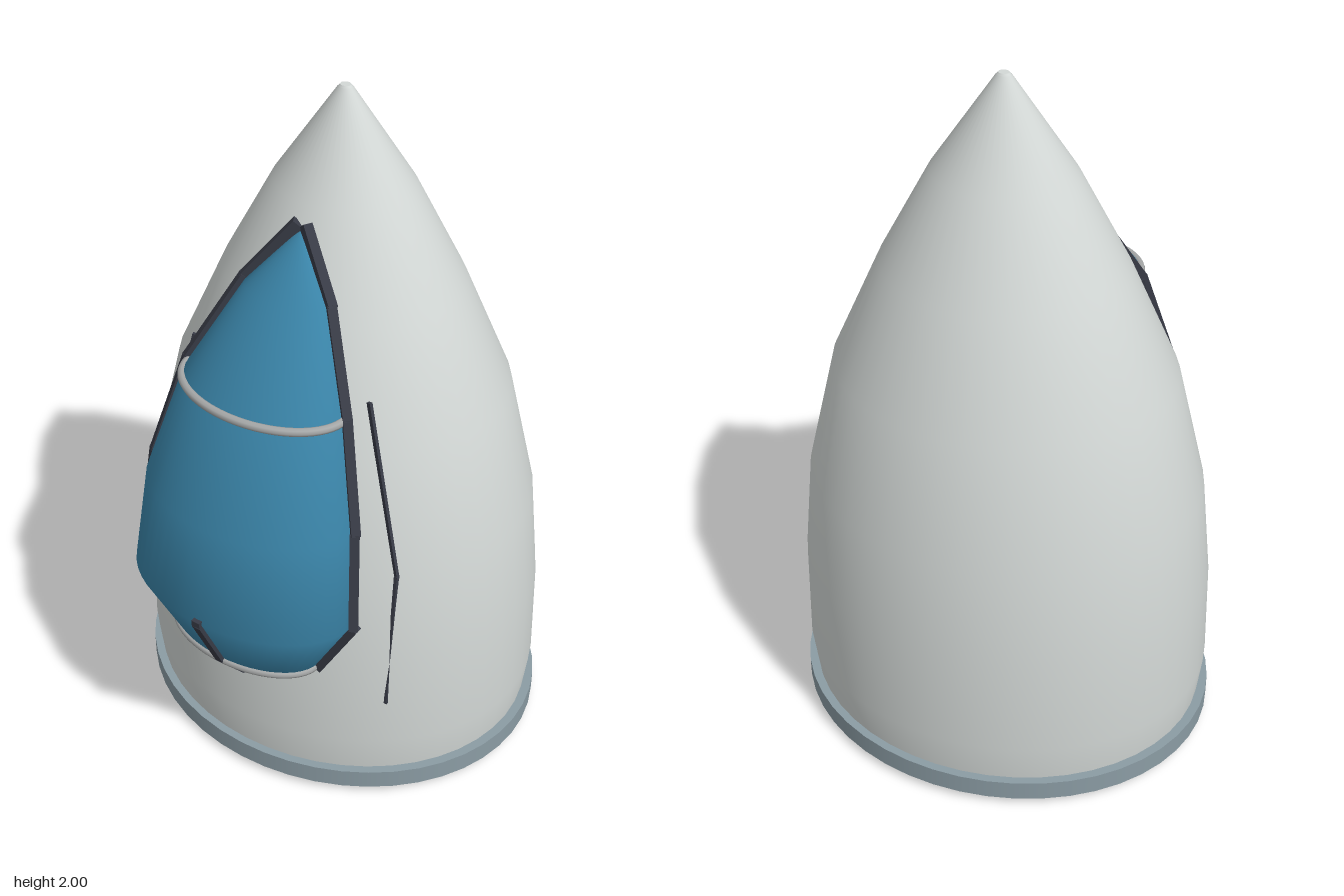
import * as THREE from 'three';

const V = (x, y, z) => new THREE.Vector3(x, y, z);

export function createModel() {
  const model = new THREE.Group();
  model.name = 'noseCone';
  const material = (name, color, side = THREE.FrontSide) => {
    const m = new THREE.MeshStandardMaterial({ color, side });
    m.name = name;
    return m;
  };
  const hullGrey = material('hullGrey', 0xd3d8d6);
  const ringGrey = material('ringGrey', 0x8b9ca4);
  const hoopGrey = material('hoopGrey', 0xa6a8a8);
  const glassBlue = material('glassBlue', 0x3a84a8, THREE.DoubleSide);
  const darkTrim = material('darkTrim', 0x383b46);

  const add = (name, geometry, mat, parent = model) => {
    const mesh = new THREE.Mesh(geometry, mat);
    mesh.name = name;
    parent.add(mesh);
    return mesh;
  };

  // Bar of rectangular section following a polyline
  const bar = (name, points, width, depth, mat) => {
    const group = new THREE.Group();
    group.name = name;
    for (let i = 0; i < points.length - 1; i++) {
      const [a, b] = [points[i], points[i + 1]];
      const geometry = new THREE.BoxGeometry(width, depth, a.distanceTo(b) + 0.008);
      const mesh = add(name + 'Segment', geometry, mat, group);
      mesh.position.copy(a).add(b).multiplyScalar(0.5);
      mesh.lookAt(b);
    }
    model.add(group);
  };

  // Body: turned shapes flattened to an oval
  const body = new THREE.Group();
  body.name = 'body';
  body.position.z = -0.09;
  body.scale.z = 0.865;
  model.add(body);
  const turned = (name, profile, mat) => add(name,
    new THREE.LatheGeometry(profile.map(([r, y]) => new THREE.Vector2(r, y)), 48), mat, body);

  turned('hull', [[0.592, 0.07], [0.607, 0.2], [0.6, 0.5], [0.57, 0.8], [0.485, 1.15],
    [0.345, 1.46], [0.2, 1.73], [0.02, 1.995]], hullGrey);
  const tip = add('tip', new THREE.CylinderGeometry(0.015, 0.02, 0.006, 24), hullGrey, body);
  tip.position.y = 1.997;
  const base = add('base', new THREE.CylinderGeometry(0.58, 0.58, 0.06, 48), hullGrey, body);
  base.position.y = 0.03;
  const ring = add('baseRing', new THREE.CylinderGeometry(0.62, 0.62, 0.06, 48), ringGrey, body);
  ring.position.y = 0.051;

  // Canopy rows: height, half width, edge z, front z
  const rows = [[1.675, 0.004, 0.11, 0.112], [1.52, 0.13, 0.175, 0.25], [1.275, 0.25, 0.28, 0.44],
    [0.98, 0.325, 0.35, 0.565], [0.69, 0.35, 0.39, 0.615], [0.485, 0.235, 0.39, 0.52],
    [0.3, 0.1, 0.3, 0.375]];
  const across = ([y, w, edge, front], t) =>
    V(w * Math.sin(t), y, edge + (front - edge) * Math.cos(t));
  const steps = 24;
  const vertices = [], faces = [];
  rows.forEach((row, i) => {
    for (let j = 0; j <= steps; j++) {
      vertices.push(...across(row, (j / steps - 0.5) * Math.PI).toArray());
      if (i < rows.length - 1 && j < steps) {
        const a = i * (steps + 1) + j, c = a + steps + 1;
        faces.push(a, c, a + 1, a + 1, c, c + 1);
      }
    }
  });
  const glass = new THREE.BufferGeometry();
  glass.setAttribute('position', new THREE.Float32BufferAttribute(vertices, 3));
  glass.setIndex(faces);
  glass.computeVertexNormals();
  add('canopy', glass, glassBlue);

  // Hoops across the canopy
  for (const [name, row] of [['upperHoop', rows[2]], ['lowerHoop', rows[5]]]) {
    const arc = Array.from({ length: 17 }, (_, j) => across(row, (j / 16 - 0.5) * Math.PI));
    add(name, new THREE.TubeGeometry(new THREE.CatmullRomCurve3(arc), 40, 0.012, 8), hoopGrey);
  }

  // Centre strip on the lower canopy
  bar('centreStrip', [V(0, 0.7, 0.614), V(0, 0.685, 0.613), V(0, 0.485, 0.52), V(0, 0.375, 0.43)],
    0.026, 0.022, darkTrim);

  // Canopy edge rails and thin side strips
  for (const [side, s] of [['left', 1], ['right', -1]]) {
    bar(side + 'CanopyRail', [V(0.013 * s, 1.685, 0.108), ...rows.slice(1, 6)
      .map(([y, w, edge]) => V((w + 0.005) * s, y, edge))], 0.026, 0.034, darkTrim);
    bar(side + 'SideStrip', [V(0.283 * s, 1.3, 0.215), V(0.406 * s, 0.8, 0.258),
      V(0.406 * s, 0.355, 0.292)], 0.009, 0.014, darkTrim);
  }
  return model;
}
